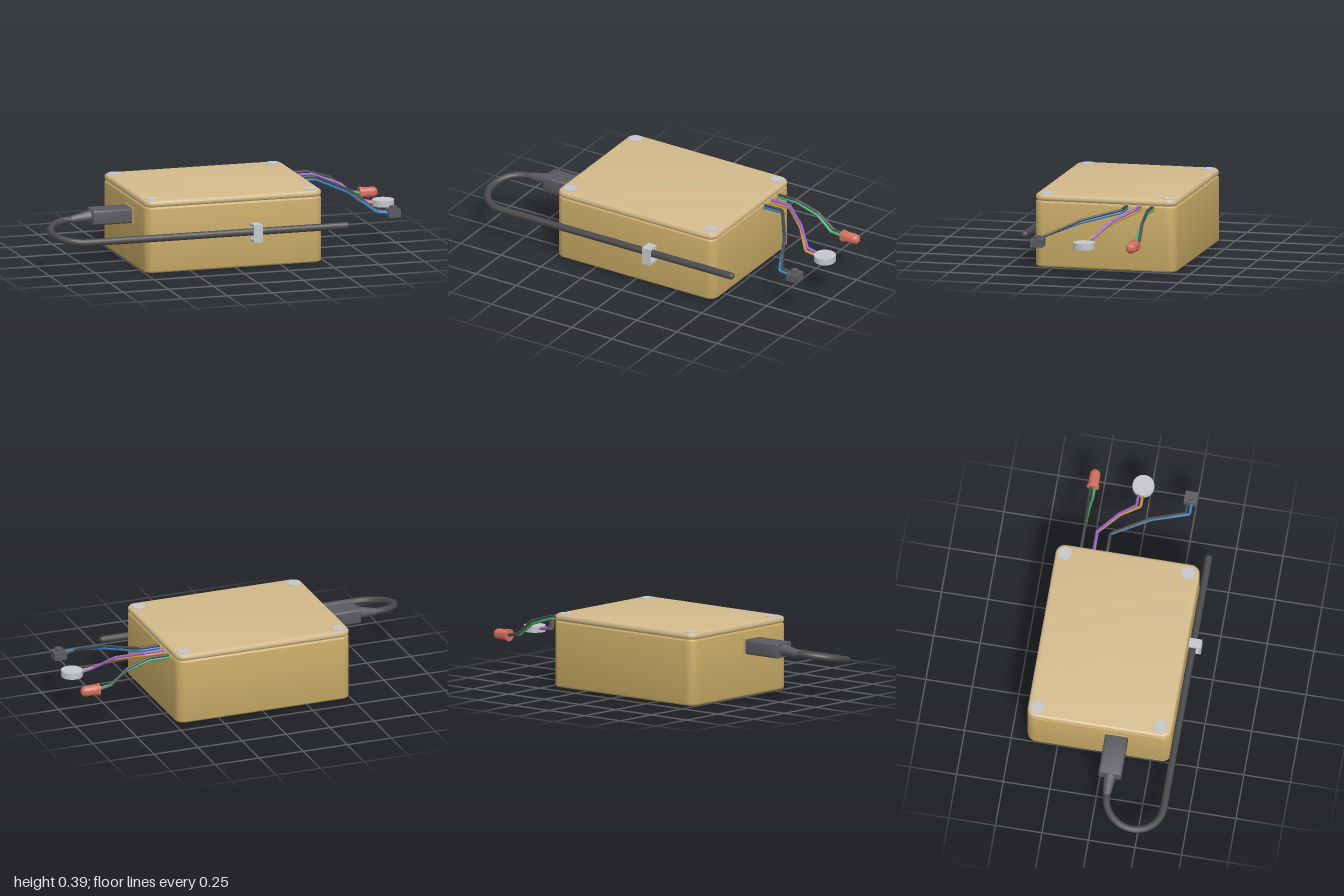
import * as THREE from 'three';
import { toCreasedNormals } from 'three/addons/utils/BufferGeometryUtils.js';

const mat = (name, color) => {
  const m = new THREE.MeshStandardMaterial({ color });
  m.name = name;
  return m;
};

export function createModel() {
  const M = {
    body: mat('tan body', 0xc8aa66),
    lid: mat('pale tan lid', 0xd3ba8b),
    plug: mat('dark grey plastic', 0x5a5a60),
    cable: mat('charcoal rubber', 0x4a4a4c),
    silver: mat('silver', 0xc4c6c9),
    red: mat('red lens', 0xd2705f),
    green: mat('green wire', 0x3fae6c),
    purple: mat('purple wire', 0x9c62cc),
    orange: mat('orange wire', 0xc8963c),
    blue: mat('blue wire', 0x3a82bc),
  };
  const root = new THREE.Group();
  root.name = 'sensorBox';
  const add = (name, geo, material, x = 0, y = 0, z = 0, parent = root) => {
    const mesh = new THREE.Mesh(geo, material);
    mesh.name = name;
    mesh.position.set(x, y, z);
    parent.add(mesh);
    return mesh;
  };
  const V = (p) => new THREE.Vector3(...p);

  // Rounded rectangle slab lying flat with its base at y = 0
  const slab = (w, d, h, r, bevel) => {
    const a = w / 2 - bevel, b = d / 2 - bevel, c = r - bevel;
    const s = new THREE.Shape();
    s.moveTo(-a + c, -b);
    s.lineTo(a - c, -b);
    s.absarc(a - c, -b + c, c, -Math.PI / 2, 0);
    s.lineTo(a, b - c);
    s.absarc(a - c, b - c, c, 0, Math.PI / 2);
    s.lineTo(-a + c, b);
    s.absarc(-a + c, b - c, c, Math.PI / 2, Math.PI);
    s.lineTo(-a, -b + c);
    s.absarc(-a + c, -b + c, c, Math.PI, Math.PI * 1.5);
    const g = new THREE.ExtrudeGeometry(s, {
      depth: h - 2 * bevel, bevelThickness: bevel, bevelSize: bevel, bevelSegments: 3, curveSegments: 6,
    });
    g.rotateX(-Math.PI / 2);
    g.translate(0, bevel, 0);
    return toCreasedNormals(g, 0.6);
  };

  // Enclosure
  const cx = -0.0075, cz = -0.032;
  add('caseBody', slab(0.985, 0.773, 0.357, 0.05, 0.012), M.body, cx, 0, cz);
  add('lid', slab(0.985, 0.773, 0.036, 0.05, 0.014), M.lid, cx, 0.355, cz);
  for (const x of [-0.447, 0.431])
    for (const z of [-0.368, 0.293])
      add('lidScrew', new THREE.CylinderGeometry(0.036, 0.036, 0.012, 24), M.silver, x, 0.388, z);

  // Plug with tapered strain relief
  add('plugFrame', new THREE.BoxGeometry(0.008, 0.09, 0.14), M.body, -0.502, 0.268, 0.067);
  const plug = slab(0.08, 0.122, 0.222, 0.012, 0.004);
  plug.rotateZ(Math.PI / 2);
  add('plug', plug, M.plug, -0.498, 0.268, 0.067);
  const relief = add('strainRelief', new THREE.CylinderGeometry(0.02, 0.033, 0.11, 16), M.plug, -0.77, 0.263, 0.068);
  relief.rotation.z = Math.PI / 2 + 0.1;

  // Cable looping from the plug along the front wall
  const path = new THREE.CurvePath();
  const bend = [];
  for (let i = 0; i <= 12; i++) {
    const t = i / 12, a = Math.PI * (0.5 + t);
    bend.push(new THREE.Vector3(-0.825 + 0.155 * Math.cos(a), 0.257 - 0.062 * t * t * (3 - 2 * t), 0.222 - 0.153 * Math.sin(a)));
  }
  path.add(new THREE.LineCurve3(V([-0.76, 0.264, 0.069]), bend[0]));
  path.add(new THREE.CatmullRomCurve3(bend));
  path.add(new THREE.LineCurve3(bend[12], V([0.605, 0.195, 0.375])));
  add('cable', new THREE.TubeGeometry(path, 120, 0.019, 12), M.cable);
  add('cableEnd', new THREE.SphereGeometry(0.019, 12, 10), M.cable, 0.605, 0.195, 0.375);

  // Square cable clip
  const clip = new THREE.Group();
  clip.name = 'cableClip';
  clip.position.set(0.104, 0.191, 0.385);
  root.add(clip);
  add('clipFront', new THREE.BoxGeometry(0.05, 0.096, 0.011), M.silver, 0, 0, 0.03, clip);
  add('clipBack', new THREE.BoxGeometry(0.05, 0.096, 0.011), M.silver, 0, 0, -0.032, clip);
  for (const s of [-1, 1])
    add('clipArm', new THREE.BoxGeometry(0.05, 0.014, 0.07), M.silver, 0, s * 0.041, 0, clip);

  // Wire pairs leaving the right-hand wall through small grommets
  const wire = (name, pts, material) => {
    const curve = new THREE.CurvePath();
    for (let i = 1; i < pts.length; i++) curve.add(new THREE.LineCurve3(V(pts[i - 1]), V(pts[i])));
    add(name, new THREE.TubeGeometry(curve, 48, 0.008, 8), material);
  };
  const pair = (label, mid, end, upper, lower, gap) => {
    const z0 = mid[0];
    [[upper, 1], [lower, -1]].forEach(([material, s]) => {
      const dy = s * 0.007, dz = -s * gap;
      wire(label + 'Wire', [
        [0.47, 0.343 + dy, z0],
        [0.6, 0.343 + dy, z0],
        [0.73, 0.302 + dy, mid[1] + dz * 0.3],
        [0.82, 0.228 + dy * 0.5, mid[2] + dz],
        [end, 0.215, mid[2] + dz],
      ], material);
    });
    const ring = new THREE.TorusGeometry(0.016, 0.004, 8, 20);
    ring.rotateY(Math.PI / 2);
    add(label + 'Grommet', ring, M.body, 0.486, 0.34, z0);
  };
  pair('button', [-0.152, 0.04, 0.225], 0.9, M.cable, M.blue, 0.011);
  pair('buzzer', [-0.222, -0.125, -0.038], 0.9, M.purple, M.orange, 0.011);
  pair('lamp', [-0.292, -0.295, -0.295], 0.895, M.cable, M.green, 0.01);

  // Push button
  add('buttonBase', new THREE.BoxGeometry(0.066, 0.042, 0.068), M.plug, 0.912, 0.214, 0.228);
  add('buttonCap', new THREE.CylinderGeometry(0.02, 0.02, 0.018, 20), M.plug, 0.912, 0.243, 0.228);

  // Disc buzzer
  add('buzzer', new THREE.CylinderGeometry(0.058, 0.058, 0.034, 32), M.silver, 0.938, 0.215, -0.032);

  // Domed indicator lamp pointing outwards
  const profile = [[0, 0], [0.033, 0], [0.033, 0.014], [0.028, 0.014], [0.028, 0.076]];
  for (let i = 1; i <= 6; i++) {
    const a = (i / 6) * Math.PI / 2;
    profile.push([i === 6 ? 0 : 0.028 * Math.cos(a), 0.076 + 0.028 * Math.sin(a)]);
  }
  const lamp = new THREE.LatheGeometry(profile.map((p) => new THREE.Vector2(...p)), 24);
  lamp.rotateZ(-Math.PI / 2);
  add('lamp', toCreasedNormals(lamp, 0.6), M.red, 0.886, 0.215, -0.295);

  return root;
}
